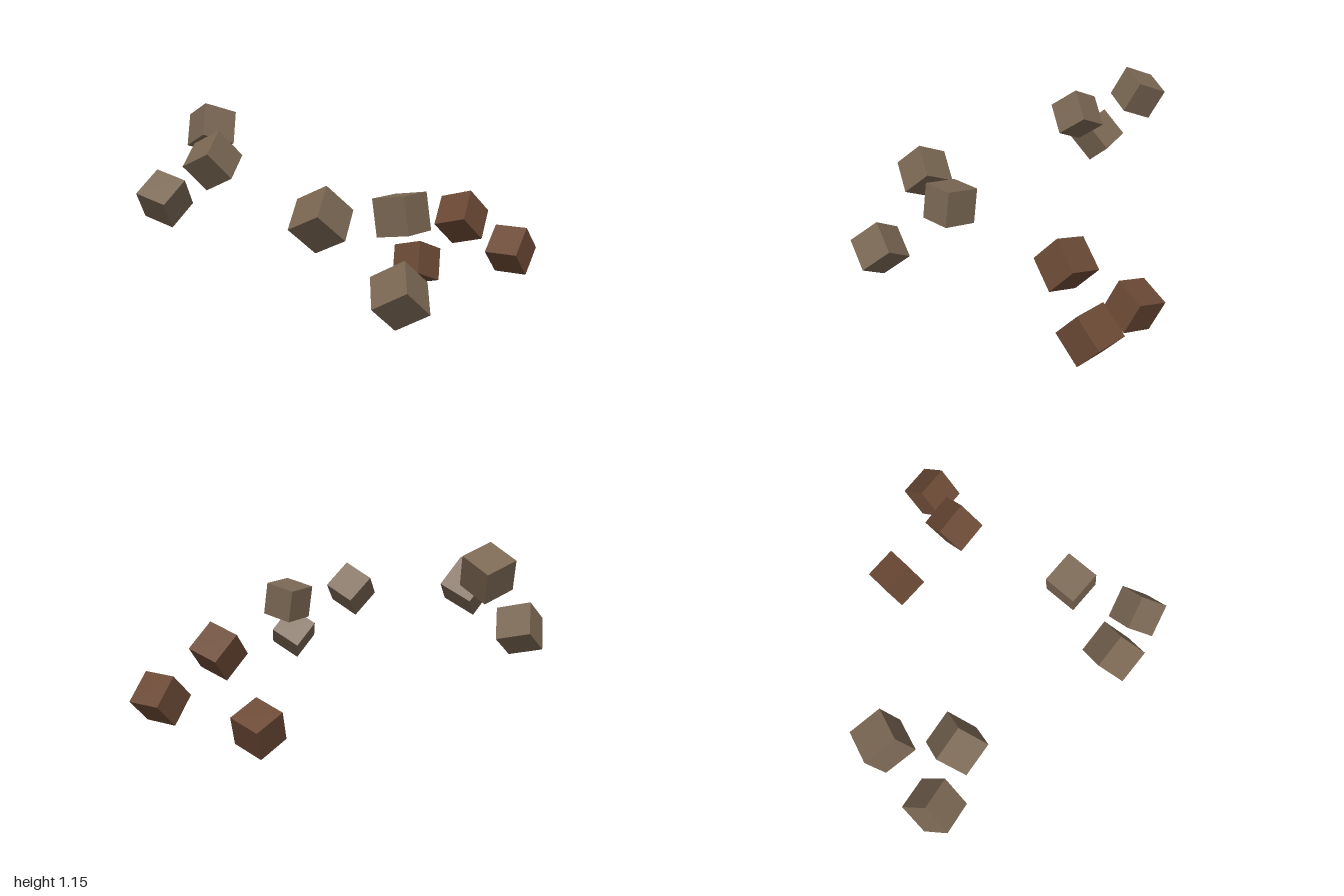
import * as THREE from 'three';

const SIDE = 0.202;

// Each cube: centre, then the directions of two of its edges
const STONE_CUBES = [
  { at: [-0.855, 1.0, 0.273], u: [0.91, 0.39, 0.21], v: [0.29, -0.85, 0.39] },
  { at: [-0.579, 0.854, 0.533], u: [0.91, 0.4, -0.08], v: [0.3, -0.56, 0.75] },
  { at: [-0.869, 0.623, 0.642], u: [0.97, -0.26, -0.19], v: [0, -0.6, 0.79] },
  { at: [0.848, 0.332, 0.685], u: [0.84, 0.47, -0.25], v: [0.5, -0.61, 0.62] },
  { at: [0.437, 0.669, 0.783], u: [0.91, 0.41, -0.04], v: [0.3, -0.64, 0.71] },
  { at: [0.597, 0.65, 0.331], u: [0.99, 0.155, -0.02], v: [0.155, -0.99, 0] },
];
const EARTH_CUBES = [
  { at: [0.052, 0.16, -0.578], u: [0.97, 0.24, 0.03], v: [0.21, -0.9, 0.39] },
  { at: [0.452, 0.507, -0.46], u: [0.97, 0.25, -0.04], v: [0.21, -0.71, 0.67] },
  { at: [0.596, 0.279, -0.786], u: [0.99, 0, -0.09], v: [0.07, -0.71, 0.7] },
];

// Square up two edge directions into a full rotation
function orientation(u, v) {
  const x = new THREE.Vector3(...u).normalize();
  const z = new THREE.Vector3().crossVectors(x, new THREE.Vector3(...v)).normalize();
  const y = new THREE.Vector3().crossVectors(z, x);
  return new THREE.Matrix4().makeBasis(x, y, z);
}

export function createModel() {
  const model = new THREE.Group();
  model.name = 'floatingCubes';

  const stone = new THREE.MeshStandardMaterial({ color: 0x7a6753 });
  stone.name = 'stone';
  const earth = new THREE.MeshStandardMaterial({ color: 0x6b4935 });
  earth.name = 'earth';

  const cube = new THREE.BoxGeometry(SIDE, SIDE, SIDE);

  function addCluster(name, cubes, material) {
    const cluster = new THREE.Group();
    cluster.name = name + 'Cluster';
    cubes.forEach(({ at, u, v }, i) => {
      const mesh = new THREE.Mesh(cube, material);
      mesh.name = name + (i + 1);
      mesh.position.set(...at);
      mesh.quaternion.setFromRotationMatrix(orientation(u, v));
      cluster.add(mesh);
    });
    model.add(cluster);
  }

  // Grey-brown cubes at the front, on both sides
  addCluster('stoneCube', STONE_CUBES, stone);
  // Reddish-brown cubes at the back
  addCluster('earthCube', EARTH_CUBES, earth);

  return model;
}
